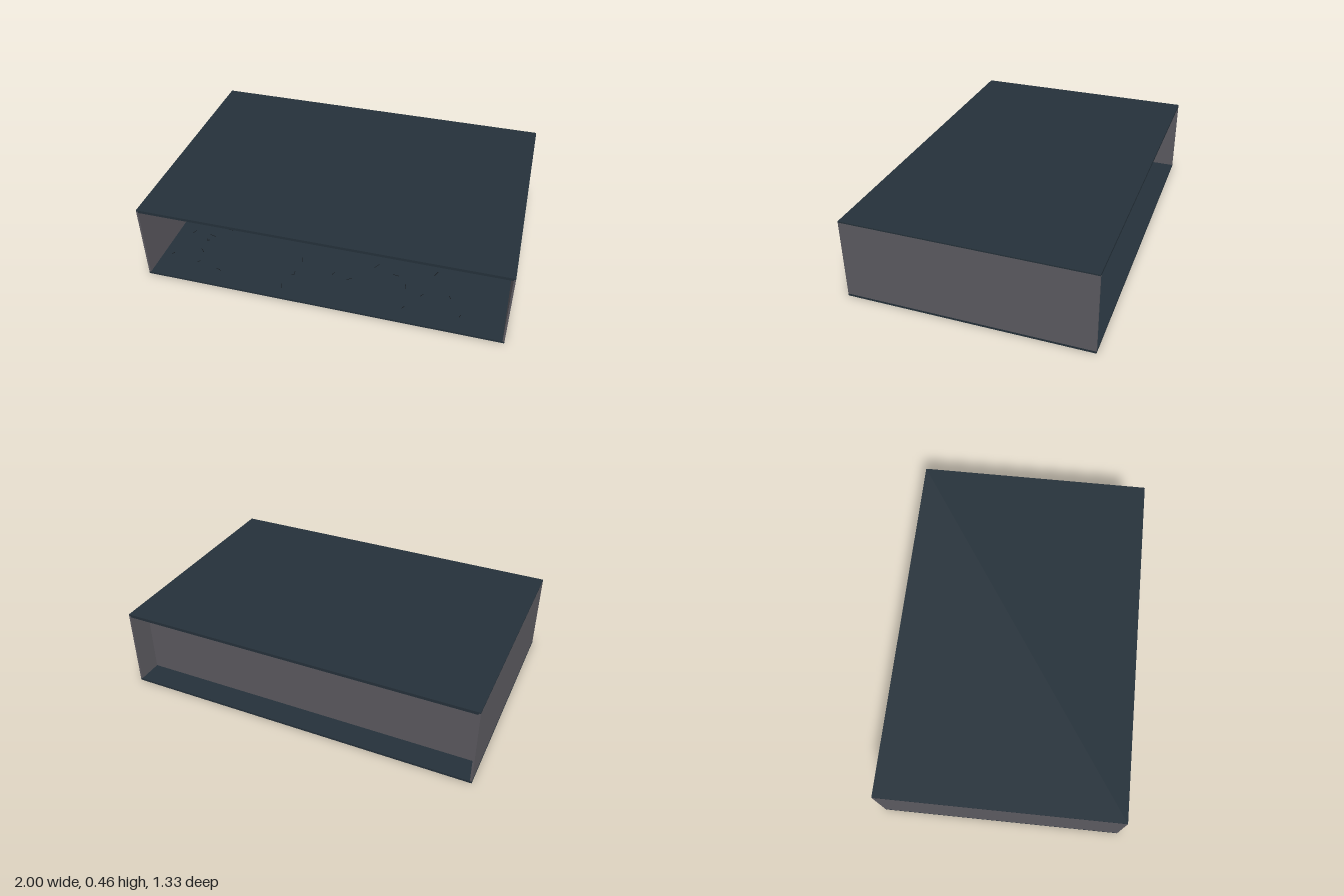
import * as THREE from 'three';
import { RoundedBoxGeometry } from 'three/addons/geometries/RoundedBoxGeometry.js';

const mat = (name, color) => {
  const m = new THREE.MeshStandardMaterial({ color });
  m.name = name;
  return m;
};

const slate = mat('dark slate', 0x25313a);
const wallGrey = mat('wall grey', 0x5c5a60);
const steel = mat('steel grey', 0x4b4a50);
const red = mat('tool red', 0xa3233a);
const blue = mat('paint blue', 0x25456a);
const yellow = mat('safety yellow', 0xc9a02c);
const black = mat('rubber black', 0x14171b);
const white = mat('pale trim', 0xd5dade);

const FLOOR = 0.012;
const WALL_Z = -0.515;

function add(parent, name, geometry, material, x = 0, y = 0, z = 0) {
  const mesh = new THREE.Mesh(geometry, material);
  mesh.name = name;
  mesh.position.set(x, y, z);
  parent.add(mesh);
  return mesh;
}

// box from its min and max corners
function box(parent, name, material, x0, x1, y0, y1, z0, z1) {
  return add(parent, name, new THREE.BoxGeometry(x1 - x0, y1 - y0, z1 - z0), material,
    (x0 + x1) / 2, (y0 + y1) / 2, (z0 + z1) / 2);
}

function group(parent, name, x = 0, y = 0, z = 0) {
  const g = new THREE.Group();
  g.name = name;
  g.position.set(x, y, z);
  parent.add(g);
  return g;
}

// solid extruded from a side profile, centred in z
function slab(parent, name, points, width, material) {
  const shape = new THREE.Shape(points.map(([x, y]) => new THREE.Vector2(x, y)));
  const geometry = new THREE.ExtrudeGeometry(shape, { depth: width, bevelEnabled: false });
  geometry.translate(0, 0, -width / 2);
  return add(parent, name, geometry, material);
}

function seeded(seed) {
  return () => (seed = (seed * 16807) % 2147483647) / 2147483647;
}

function cabinet(parent, x) {
  const g = group(parent, 'toolCabinet', x, FLOOR, WALL_Z);
  box(g, 'cabinetBody', red, -0.055, 0.055, 0.005, 0.118, 0, 0.085);
  box(g, 'cabinetPlinth', black, -0.05, 0.05, 0, 0.005, 0.005, 0.08);
  for (const y of [0.085, 0.1]) box(g, 'drawerGap', black, -0.053, 0.053, y, y + 0.003, 0.085, 0.087);
  for (const s of [-1, 1])
    for (const y of [0.079, 0.093]) box(g, 'drawerHandle', white, s * 0.022 - 0.017, s * 0.022 + 0.017, y, y + 0.004, 0.085, 0.089);
}

function shelves(parent, x, rand) {
  const g = group(parent, 'shelfUnit', x, 0, WALL_Z);
  for (const y of [0.153, 0.226]) {
    box(g, 'shelf', slate, -0.056, 0.056, y, y + 0.006, 0, 0.05);
    for (let i = 0; i < 9; i++) {
      const h = 0.008 + rand() * 0.012;
      const cx = -0.046 + i * 0.0115;
      add(g, 'can', new THREE.CylinderGeometry(0.004, 0.004, h, 8),
        [black, red, steel, black, white][Math.floor(rand() * 5)], cx, y + 0.006 + h / 2, 0.025);
    }
  }
}

function pinBoard(parent, x0, x1, y0, y1, rx0, rx1) {
  box(parent, 'pinBoard', slate, x0, x1, y0, y1, WALL_Z, WALL_Z + 0.008);
  box(parent, 'redPoster', red, rx0, rx1, y1 - 0.09 * (x1 - x0 > 0.15 ? 1 : 0.5), y1 - (x1 - x0 > 0.15 ? 0.037 : 0.004), WALL_Z + 0.008, WALL_Z + 0.012);
}

function lift(parent, x) {
  const g = group(parent, 'vehicleLift', x, FLOOR, -0.27);
  box(g, 'liftPost', blue, -0.016, 0.016, 0, 0.415, -0.02, 0.02);
  for (const s of [-1, 1]) box(g, 'postFlange', slate, s * 0.019 - 0.003, s * 0.019 + 0.003, 0, 0.415, -0.02, 0.024);
  box(g, 'liftTrack', yellow, -0.006, 0.006, 0.078, 0.297, 0.02, 0.028);
  box(g, 'carriage', blue, -0.024, 0.024, 0.022, 0.062, 0.018, 0.045);
  box(g, 'liftBase', yellow, -0.028, 0.028, 0, 0.01, -0.04, 0.07);
  // swinging arms with pads
  for (const s of [-1, 1]) {
    const arm = group(g, 'liftArm', 0, 0.014, 0.04);
    arm.rotation.y = s > 0 ? -0.85 : Math.PI + 0.85;
    box(arm, 'armBar', yellow, 0, 0.14, -0.005, 0.005, -0.009, 0.009);
    add(arm, 'armPad', new THREE.CylinderGeometry(0.014, 0.014, 0.008, 12), black, 0.135, 0.008, 0);
  }
}

function tyreStack(parent, x) {
  const g = group(parent, 'tyreStack', x, FLOOR, -0.44);
  for (let i = 0; i < 5; i++) {
    const tyre = add(g, 'tyre', new THREE.TorusGeometry(0.023, 0.0095, 8, 20), black, 0, 0.0095 + i * 0.0165, 0);
    tyre.rotation.x = Math.PI / 2;
  }
}

function car(parent) {
  const g = group(parent, 'stationWagon', 0, 0, 0.125);
  const W = 0.15;
  slab(g, 'carBody', [[-0.033, 0.04], [-0.002, 0.032], [0.325, 0.032], [0.36, 0.04], [0.362, 0.088], [0.345, 0.1],
    [0.262, 0.107], [-0.02, 0.107], [-0.033, 0.095]], W, blue);
  slab(g, 'cabinGlass', [[-0.01, 0.107], [0.268, 0.107], [0.238, 0.148], [0.022, 0.148]], W - 0.016, slate);
  slab(g, 'carRoof', [[0.018, 0.148], [0.242, 0.148], [0.235, 0.157], [0.026, 0.157]], W - 0.012, blue);
  for (const s of [-1, 1]) {
    const side = s * W / 2;
    box(g, 'sideTrim', white, -0.028, 0.35, 0.083, 0.086, side - 0.002, side + 0.002);
    // pillars
    for (const [xb, xt] of [[-0.008, 0.024], [0.07, 0.075], [0.155, 0.155], [0.264, 0.236]]) {
      const p = box(g, 'pillar', xb === 0.07 || xb === 0.155 ? white : blue, -0.002, 0.002, -0.022, 0.022, -0.002, 0.002);
      p.position.set((xb + xt) / 2, 0.128, s * (W / 2 - 0.007));
      p.rotation.z = Math.atan2(xb - xt, 0.042);
    }
    // wheels
    for (const x of [0.037, 0.283]) {
      const wheel = group(g, 'wheel', x, 0.042, s * (W / 2 - 0.008));
      const disc = (name, r, d, m) => {
        add(wheel, name, new THREE.CylinderGeometry(r, r, d, 24), m).rotation.x = Math.PI / 2;
      };
      disc('wheelArch', 0.035, 0.018, slate);
      disc('tyre', 0.03, 0.025, black);
      disc('rim', 0.02, 0.027, white);
      disc('hub', 0.006, 0.031, black);
      for (let i = 0; i < 5; i++) {
        const slot = box(wheel, 'rimSlot', black, -0.0025, 0.0025, -0.0175, 0.0175, -0.0145, 0.0145);
        slot.rotation.z = i * Math.PI / 5;
      }
    }
    add(g, 'headlamp', new THREE.CylinderGeometry(0.011, 0.011, 0.006, 16), white, 0.362, 0.075, s * 0.052).rotation.z = Math.PI / 2;
    box(g, 'tailLamp', red, -0.037, -0.032, 0.062, 0.09, s * 0.06 - 0.01, s * 0.06 + 0.01);
    box(g, 'rackRail', black, 0.026, 0.25, 0.164, 0.168, s * 0.055 - 0.002, s * 0.055 + 0.002);
  }
  box(g, 'grille', black, 0.361, 0.365, 0.062, 0.086, -0.038, 0.038);
  box(g, 'frontBumper', white, 0.355, 0.37, 0.042, 0.051, -0.073, 0.073);
  box(g, 'rearBumper', white, -0.042, -0.028, 0.042, 0.051, -0.073, 0.073);
  // loaded roof rack
  for (const x of [0.045, 0.135, 0.225]) box(g, 'rackBar', black, x, x + 0.004, 0.156, 0.17, -0.06, 0.06);
  add(g, 'roofBox', new RoundedBoxGeometry(0.22, 0.022, 0.06, 3, 0.009), black, 0.14, 0.181, 0.02);
  add(g, 'roofCase', new RoundedBoxGeometry(0.12, 0.026, 0.045, 3, 0.006), slate, 0.1, 0.183, -0.038);
  box(g, 'fuelCan', red, 0.034, 0.05, 0.17, 0.2, -0.055, -0.025);
}

export function createModel() {
  const root = new THREE.Group();
  root.name = 'garage';
  const rand = seeded(71);

  // building shell, open at the front
  box(root, 'floor', slate, -1, 1, 0, FLOOR, -0.667, 0.667);
  box(root, 'roof', slate, -1, 1, 0.448, 0.455, -0.667, 0.667);
  box(root, 'ceiling', slate, -0.99, 0.99, 0.438, 0.448, -0.666, 0.666);
  for (const s of [-1, 1]) box(root, 'sideWall', wallGrey, s * 0.995 - 0.005, s * 0.995 + 0.005, FLOOR, 0.448, -0.667, 0.667);
  box(root, 'backWall', wallGrey, -0.99, 0.99, FLOOR, 0.438, WALL_Z - 0.01, WALL_Z);

  // roof pipes and pillars
  for (let i = 0; i < 6; i++) {
    const x = -5 / 6 + i / 3;
    add(root, 'roofPipe', new THREE.CylinderGeometry(0.011, 0.011, 1.2, 16), steel, x, 0.421, -0.02).rotation.x = Math.PI / 2;
    box(root, 'pillar', slate, x - 0.013, x + 0.013, FLOOR, 0.415, WALL_Z, WALL_Z + 0.03);
  }
  box(root, 'ceilingBeam', slate, -0.67, 0.976, 0.41, 0.43, 0.09, 0.12);

  // cabinets and shelves along the back wall
  for (const x of [-0.865, -0.725, -0.505, -0.368, -0.203, -0.042, 0.348, 0.55]) cabinet(root, x);
  for (const x of [-0.865, -0.725, -0.508, -0.368, -0.042, 0.348, 0.55, 0.715]) shelves(root, x, rand);
  pinBoard(root, -0.22, -0.137, 0.19, 0.305, -0.217, -0.17);
  pinBoard(root, -0.045, 0.035, 0.19, 0.305, -0.043, 0);
  pinBoard(root, 0.062, 0.254, 0.21, 0.348, 0.083, 0.152);
  pinBoard(root, 0.763, 0.826, 0.19, 0.305, 0.768, 0.81);
  pinBoard(root, 0.872, 0.96, 0.19, 0.305, 0.875, 0.912);
  for (const x of [-0.5, -0.2, 0.1, 0.595]) box(root, 'wallBracket', black, x - 0.038, x + 0.038, 0.338, 0.346, WALL_Z, WALL_Z + 0.03);
  for (const x of [-0.845, -0.805, -0.757]) add(root, 'hangingTyre', new THREE.TorusGeometry(0.021, 0.005, 8, 24), black, x, 0.293, WALL_Z + 0.02);

  // hanging lamps
  for (const [x, z] of [[-0.5, -0.2], [-0.17, -0.3], [0.07, -0.2], [0.19, -0.3], [0.46, -0.2], [0.83, -0.3]]) {
    const lamp = group(root, 'hangingLamp', x, 0.388, z);
    box(lamp, 'lampHousing', steel, -0.05, 0.05, 0, 0.006, -0.01, 0.01);
    box(lamp, 'lampTube', white, -0.046, 0.046, -0.003, 0, -0.004, 0.004);
    for (const s of [-1, 1]) box(lamp, 'lampRod', black, s * 0.035 - 0.001, s * 0.035 + 0.001, 0.006, 0.05, -0.001, 0.001);
  }

  for (const x of [-0.8, 0.058, 0.51, 0.812]) lift(root, x);
  tyreStack(root, -0.568);
  tyreStack(root, 0.918);
  add(root, 'coveredLoad', new RoundedBoxGeometry(0.26, 0.135, 0.14, 4, 0.03), steel, 0.765, FLOOR + 0.0675, -0.41);

  // scuffs on the floor
  for (let i = 0; i < 60; i++) {
    const scuff = add(root, 'floorScuff', new THREE.BoxGeometry(0.012 + rand() * 0.03, 0.0008, 0.003), black,
      -0.94 + rand() * 1.88, FLOOR + 0.0004, -0.4 + rand() * 1.02);
    scuff.rotation.y = rand() * Math.PI;
  }

  car(root);
  return root;
}
